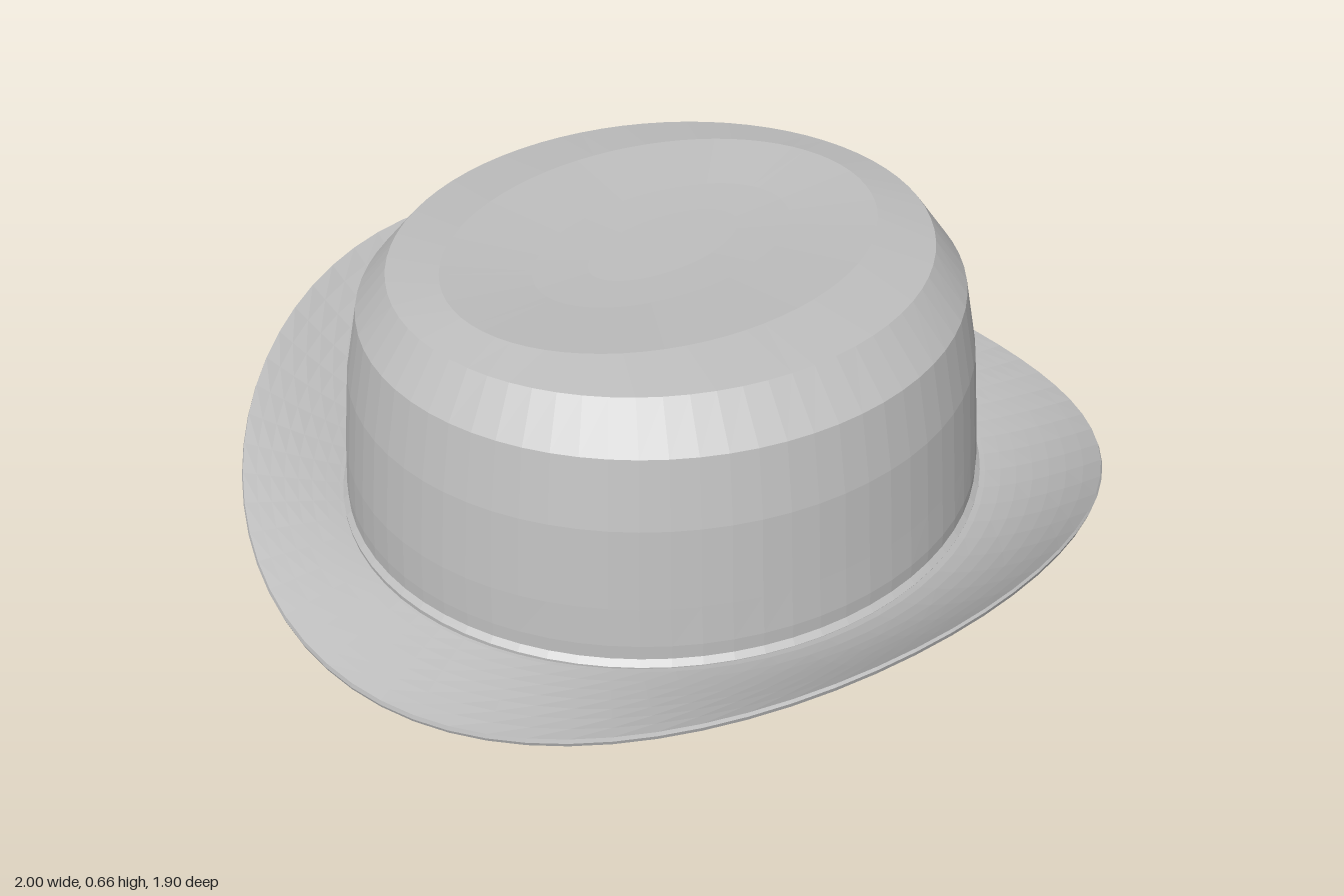
import * as THREE from 'three';

const SEGMENTS = 72;

// Skin a loop of rings; point(ring, angle) returns [x, y, z]
function skinRings(count, point, closed) {
  const positions = [];
  const index = [];
  for (let k = 0; k < count; k++) {
    for (let j = 0; j < SEGMENTS; j++) {
      positions.push(...point(k, (j / SEGMENTS) * Math.PI * 2));
    }
  }
  for (let k = 0; k < (closed ? count : count - 1); k++) {
    for (let j = 0; j < SEGMENTS; j++) {
      const a = k * SEGMENTS + j;
      const b = k * SEGMENTS + ((j + 1) % SEGMENTS);
      const c = ((k + 1) % count) * SEGMENTS + ((j + 1) % SEGMENTS);
      const d = ((k + 1) % count) * SEGMENTS + j;
      index.push(a, b, c, a, c, d);
    }
  }
  const indexed = new THREE.BufferGeometry();
  indexed.setAttribute('position', new THREE.Float32BufferAttribute(positions, 3));
  indexed.setIndex(index);
  const faceted = indexed.toNonIndexed(); // faceted normals
  faceted.computeVertexNormals();
  return faceted;
}

// Oval shell from a profile of [x radius, z radius, y]
function ovalShell(profile, closed) {
  return skinRings(profile.length, (k, a) => {
    const [rx, rz, y] = profile[k];
    return [rx * Math.sin(a), y, rz * Math.cos(a)];
  }, closed);
}

export function createModel() {
  const hat = new THREE.Group();
  hat.name = 'hat';
  const felt = new THREE.MeshStandardMaterial({ color: 0xbfbfbf });
  felt.name = 'grey felt';

  const add = (name, geometry) => {
    const mesh = new THREE.Mesh(geometry, felt);
    mesh.name = name;
    hat.add(mesh);
  };

  // Crown: outer wall, dished top, then the hollow inside
  add('crown', ovalShell([
    [0.66, 0.70, 0.05], [0.70, 0.74, 0.05], [0.70, 0.74, 0.13],
    [0.69, 0.735, 0.22], [0.672, 0.715, 0.40], [0.64, 0.685, 0.55],
    [0.557, 0.62, 0.643], [0.40, 0.525, 0.66], [0.20, 0.33, 0.645],
    [0.10, 0.20, 0.64], [0, 0, 0.64],
    [0, 0, 0.61], [0.38, 0.50, 0.62], [0.53, 0.59, 0.607],
    [0.605, 0.65, 0.53], [0.64, 0.68, 0.40], [0.66, 0.70, 0.22],
  ], true));

  // Flat collar around the opening
  add('collar', ovalShell([
    [0.655, 0.695, 0.045], [0.71, 0.75, 0.045], [0.712, 0.752, 0.085],
    [0.70, 0.74, 0.097], [0.655, 0.695, 0.097],
  ], true));

  // Brim: swept up at both sides and dipped at the front
  const steps = 8;
  const loop = [];
  for (let i = 0; i <= steps; i++) loop.push([i / steps, -0.009]);
  loop.push([1.012, 0]);
  for (let i = steps; i >= 0; i--) loop.push([i / steps, 0.009]);
  add('brim', skinRings(loop.length, (k, a) => {
    const [t, offset] = loop[k];
    const s = Math.sin(a);
    const c = Math.cos(a);
    const edge = 0.04 - 0.031 * c + 0.243 * s * s;
    const y = 0.07 + (edge - 0.07) * Math.pow(t, 1.15 + 0.35 * s * s) + offset;
    return [(0.69 + 0.306 * t) * s, y, (0.73 + 0.218 * t) * c];
  }, true));

  return hat;
}
